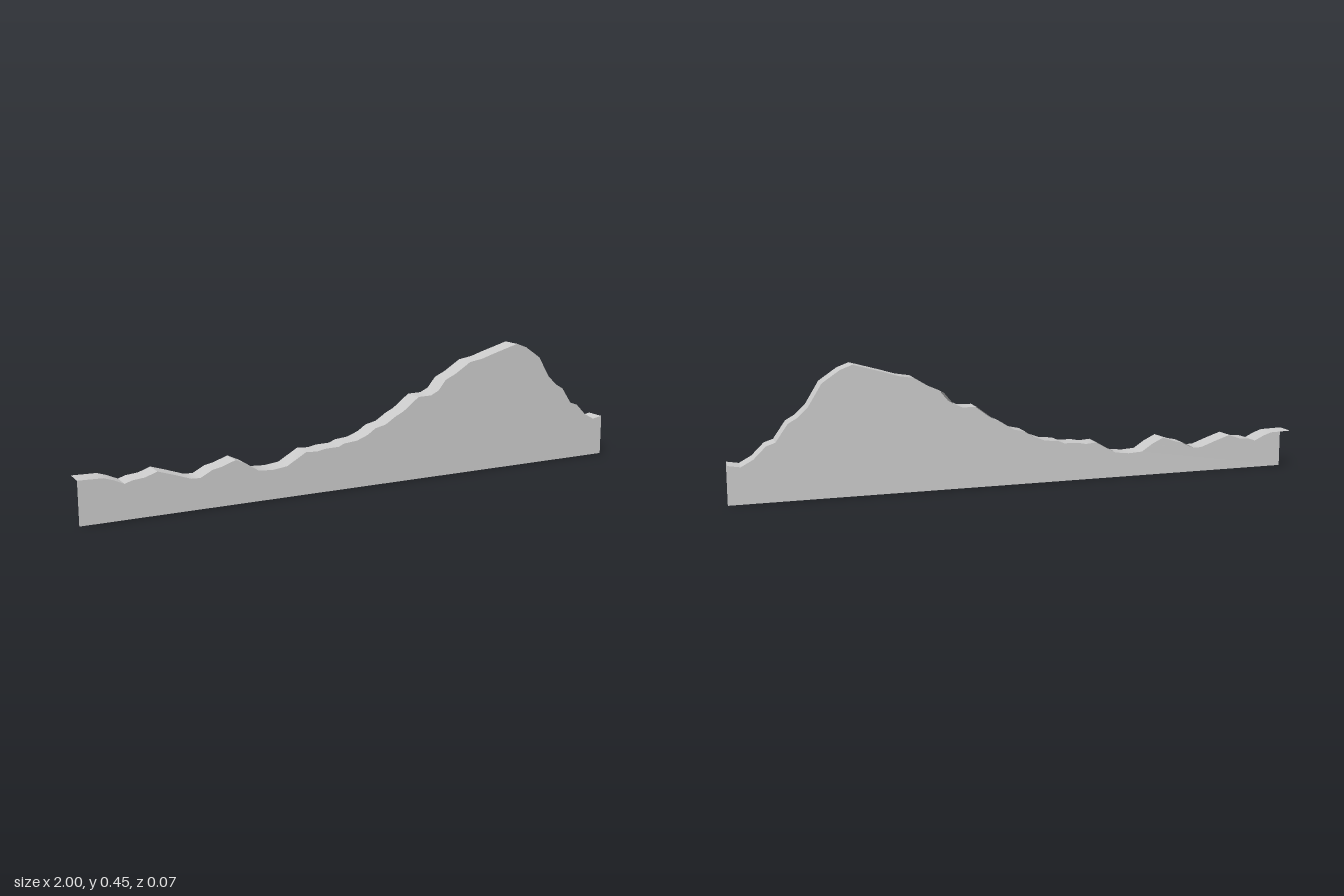
import * as THREE from 'three';
import { toCreasedNormals } from 'three/addons/utils/BufferGeometryUtils.js';

// Skyline of the ground, left to right, as [x, y]
const profile = [
  [-1, 0.143], [-0.92, 0.141], [-0.89, 0.131], [-0.855, 0.115], [-0.83, 0.123], [-0.79, 0.127],
  [-0.75, 0.141], [-0.7, 0.125], [-0.64, 0.104], [-0.61, 0.103], [-0.57, 0.124], [-0.54, 0.13],
  [-0.49, 0.147], [-0.45, 0.128], [-0.41, 0.102], [-0.36, 0.099], [-0.31, 0.105], [-0.24, 0.145],
  [-0.2, 0.142], [-0.17, 0.148], [-0.12, 0.149], [-0.1, 0.158], [-0.05, 0.163], [-0.01, 0.178],
  [0.02, 0.198], [0.06, 0.207], [0.1, 0.232], [0.13, 0.246], [0.19, 0.291], [0.24, 0.292],
  [0.27, 0.306], [0.3, 0.342], [0.34, 0.36], [0.4, 0.397], [0.45, 0.405], [0.5, 0.42],
  [0.6, 0.448], [0.64, 0.433], [0.7, 0.392], [0.745, 0.318], [0.78, 0.285], [0.81, 0.268],
  [0.85, 0.21], [0.88, 0.2], [0.92, 0.16], [0.96, 0.138], [1, 0.145],
];
const HALF_DEPTH = 0.036;

// Open strip that follows the skyline from front to back
function surfaceGeometry() {
  const last = profile.length - 1;
  const geometry = new THREE.PlaneGeometry(2, 2 * HALF_DEPTH, last, 1);
  geometry.rotateX(-Math.PI / 2);
  const position = geometry.attributes.position;
  for (let i = 0; i < position.count; i++) {
    const [x, y] = profile[i % (last + 1)];
    position.setX(i, x);
    position.setY(i, y);
  }
  return toCreasedNormals(geometry, 0.6);
}

// Flat face from the skyline down to the base line
function wallGeometry() {
  const shape = new THREE.Shape();
  shape.moveTo(-1, 0);
  shape.lineTo(1, 0);
  for (const [x, y] of [...profile].reverse()) shape.lineTo(x, y);
  shape.closePath();
  return new THREE.ShapeGeometry(shape).translate(0, 0, HALF_DEPTH);
}

export function createModel() {
  const model = new THREE.Group();
  model.name = 'hillTerrain';
  const material = new THREE.MeshStandardMaterial({ color: 0xcccccc, side: THREE.DoubleSide });

  const surface = new THREE.Mesh(surfaceGeometry(), material);
  surface.name = 'groundSurface';
  const wall = new THREE.Mesh(wallGeometry(), material);
  wall.name = 'frontWall';

  model.add(surface, wall);
  return model;
}
